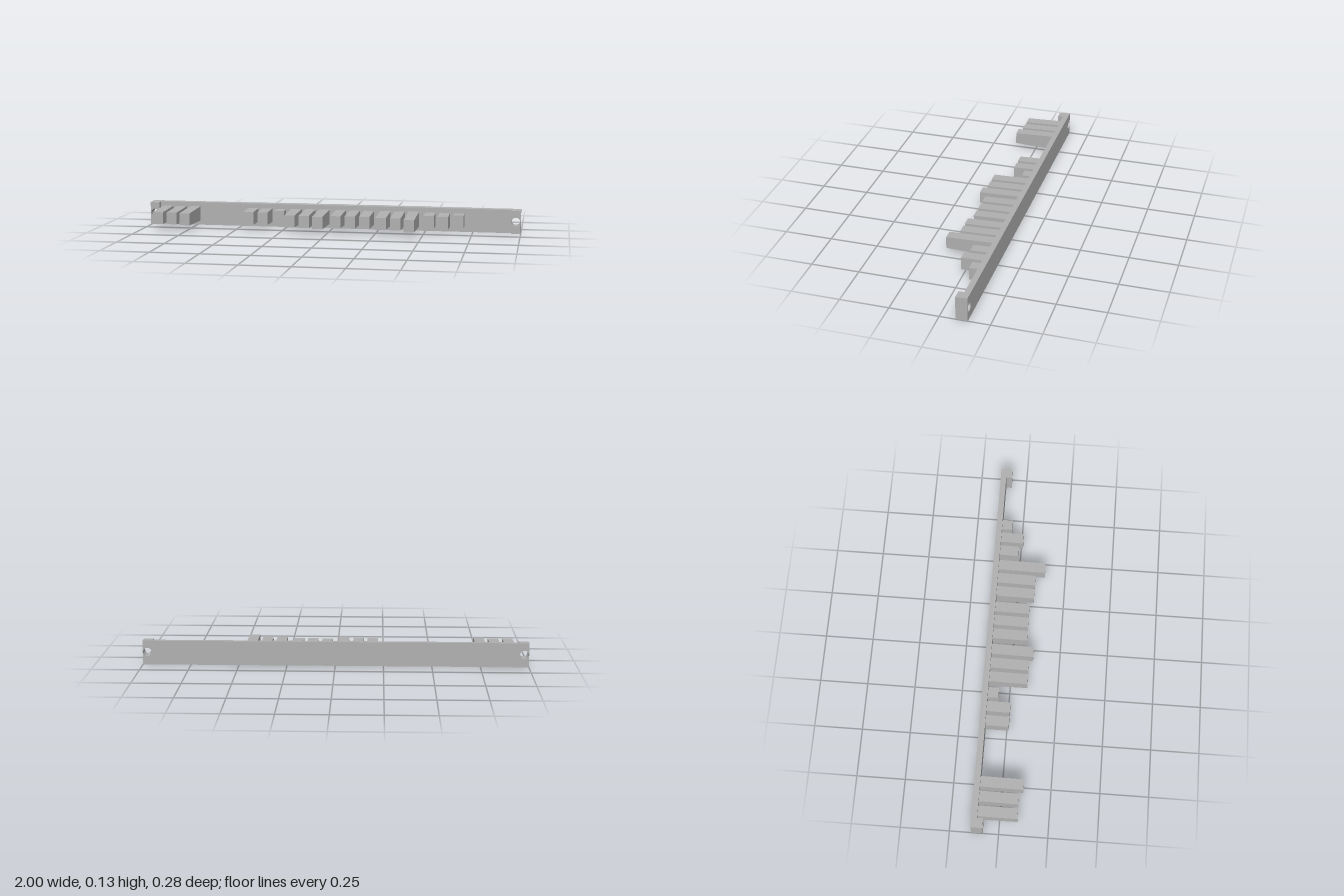
import * as THREE from 'three';

const BACK = -0.14, FACE = -0.11, MID = 0.064;
const DRAFT = 0.035; // taper of the moulded sides per unit of depth

// Closed rectangle with round screw holes, extruded along z with drafted top and bottom
function draftedPlate(x0, x1, z0, z1, holes) {
  const half = 0.0635;
  const shape = new THREE.Shape([
    new THREE.Vector2(x0, MID - half), new THREE.Vector2(x1, MID - half),
    new THREE.Vector2(x1, MID + half), new THREE.Vector2(x0, MID + half),
  ]);
  for (const x of holes) {
    const hole = new THREE.Path();
    hole.absarc(x, 0.066, 0.023, 0, Math.PI * 2, true);
    shape.holes.push(hole);
  }
  const g = new THREE.ExtrudeGeometry(shape, { depth: z1 - z0, bevelEnabled: false, curveSegments: 8 });
  g.translate(0, 0, z0);
  const p = g.attributes.position;
  for (let i = 0; i < p.count; i++) {
    const dy = p.getY(i) - MID;
    if (Math.abs(dy) > 0.05) p.setY(i, MID + Math.sign(dy) * (half - (p.getZ(i) - BACK) * 0.06));
  }
  g.computeVertexNormals();
  return g;
}

// Bar pointing forward, taller at its root than at its tip
function toothGeometry(tip) {
  const g = new THREE.BoxGeometry(0.055, 1, tip - FACE);
  g.translate(0, 0, (tip + FACE) / 2);
  const p = g.attributes.position;
  for (let i = 0; i < p.count; i++) {
    const half = 0.0315 + (tip < 0.05 ? 0.0015 : 0) + (tip - p.getZ(i)) * DRAFT;
    p.setY(i, MID + Math.sign(p.getY(i)) * half);
  }
  const flat = g.toNonIndexed();
  flat.computeVertexNormals();
  return flat;
}

export function createModel() {
  const model = new THREE.Group();
  model.name = 'toothedStrip';
  const grey = new THREE.MeshStandardMaterial({ color: 0xb0b0b0 });
  grey.name = 'grey';
  const add = (name, geometry) => {
    const mesh = new THREE.Mesh(geometry, grey);
    mesh.name = name;
    model.add(mesh);
    return mesh;
  };

  // Long back plate with a screw hole at each end
  add('backPlate', draftedPlate(-1, 1, BACK, FACE, [-0.975, 0.975]));

  // Raised end blocks around the holes
  add('rightEndBlock', draftedPlate(-1, -0.95, FACE, -0.08, [-0.975]));
  add('leftEndBlock', draftedPlate(0.95, 1, FACE, -0.08, [0.975]));

  // Groups of three teeth: centre of the middle tooth, then the three tip depths
  const groups = [
    [-0.832, 0.09, 0.09, 0.11],
    [-0.356, 0.01, 0.01, -0.055],
    [-0.118, 0.09, 0.09, 0.11],
    [0.122, 0.07, 0.07, 0.07],
    [0.363, 0.09, 0.09, 0.14],
    [0.602, -0.013, 0.01, -0.055],
  ];
  groups.forEach(([x, ...tips], g) => tips.forEach((tip, i) => {
    add(`tooth${g + 1}_${i + 1}`, toothGeometry(tip)).position.x = x + (i - 1) * 0.076;
  }));

  return model;
}
